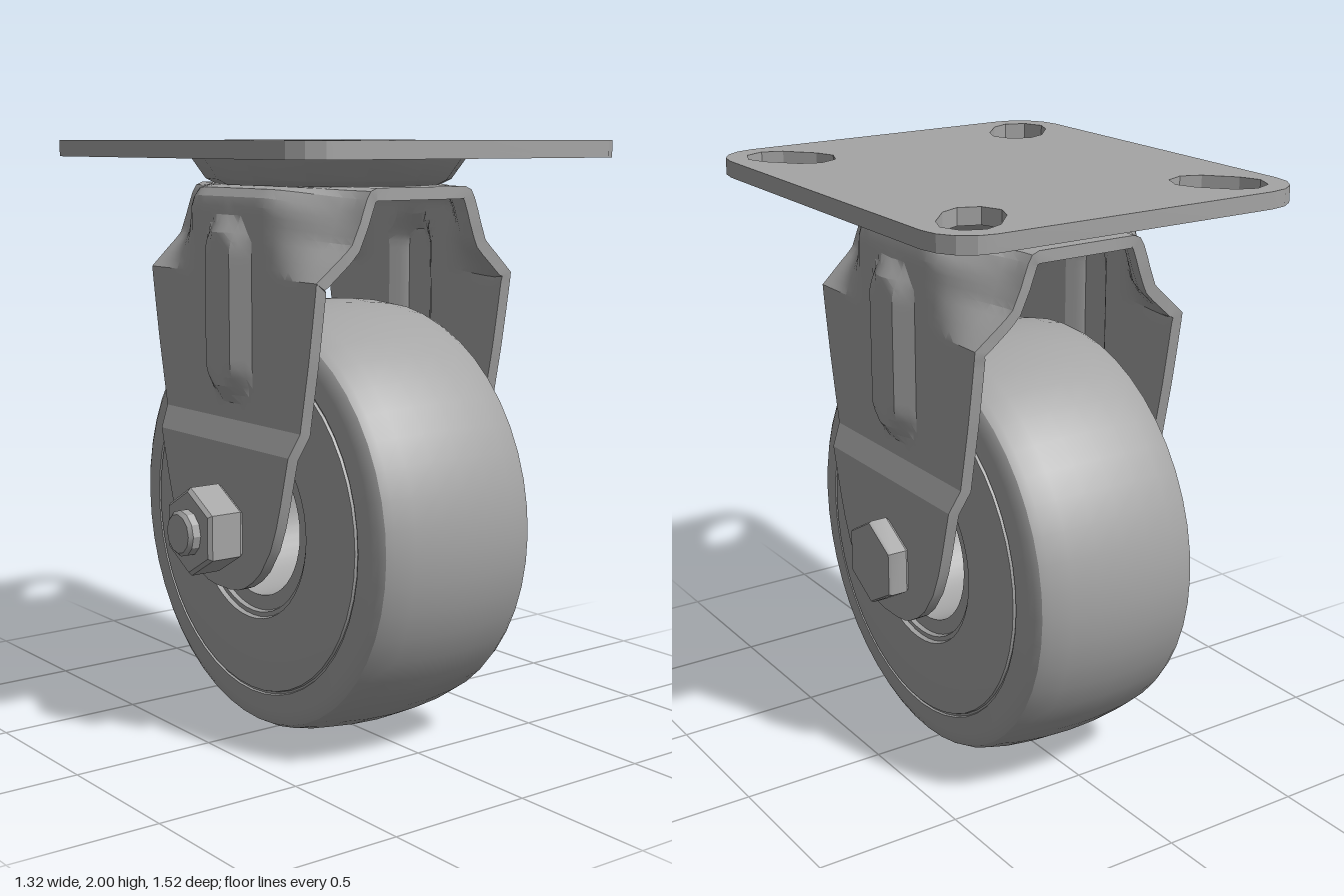
import * as THREE from 'three';
import { toCreasedNormals } from 'three/addons/utils/BufferGeometryUtils.js';

const AXLE_Y = 0.735;
const SHEET = 0.04;
const material = new THREE.MeshStandardMaterial({ color: 0xa5a5a5 });

function part(name, geometry, crease = 0.5) {
  const mesh = new THREE.Mesh(toCreasedNormals(geometry, crease), material);
  mesh.name = name;
  return mesh;
}

// Turned part on the axle line; profile points are [x, radius]
function turned(name, profile, sides) {
  const g = new THREE.LatheGeometry(profile.map(([x, r]) => new THREE.Vector2(r, x)), sides);
  g.rotateZ(-Math.PI / 2).rotateX(Math.PI / 2).translate(0, AXLE_Y, 0);
  return part(name, g);
}

// Mounting plate with rounded corners and four diagonal slots
function createPlate() {
  const w = 0.66, d = 0.76, r = 0.155, h = 0.055;
  const shape = new THREE.Shape();
  shape.absarc(w - r, d - r, r, 0, Math.PI / 2);
  shape.absarc(r - w, d - r, r, Math.PI / 2, Math.PI);
  shape.absarc(r - w, r - d, r, Math.PI, Math.PI * 1.5);
  shape.absarc(w - r, r - d, r, Math.PI * 1.5, Math.PI * 2);
  for (const sx of [-1, 1]) for (const sz of [-1, 1]) {
    const slot = new THREE.Path();
    const a = Math.atan2(sz, sx);
    slot.absarc(0.5 * sx, 0.6 * sz, 0.095, a - Math.PI / 2, a + Math.PI / 2);
    slot.absarc(0.42 * sx, 0.51 * sz, 0.095, a + Math.PI / 2, a + Math.PI * 1.5);
    shape.holes.push(slot);
  }
  const g = new THREE.ExtrudeGeometry(shape, { depth: h, bevelEnabled: false, curveSegments: 2 });
  g.rotateX(-Math.PI / 2).translate(0, 2 - h, 0);
  return part('mountingPlate', g, 0.3);
}

// Dished swivel housing under the plate, narrower across than front to back
function createHousing() {
  const profile = [[0, 1.855], [0.425, 1.855], [0.465, 1.873], [0.525, 1.948]];
  const g = new THREE.LatheGeometry(profile.map(([r, y]) => new THREE.Vector2(r, y)), 14);
  g.scale(0.82, 1, 1);
  return part('swivelHousing', g);
}

// Piecewise linear lookup in a list of [key, value]
function lookup(table, k) {
  for (let i = 1; i < table.length; i++) {
    const [k0, v0] = table[i - 1], [k1, v1] = table[i];
    if (k <= k1) return v0 + (v1 - v0) * Math.max(0, (k - k0) / (k1 - k0));
  }
  return table[table.length - 1][1];
}

// Half width of the fork leg at each height
const legWidth = [[0.53, 0.04], [0.537, 0.09], [0.55, 0.125], [0.58, 0.175], [0.62, 0.22], [0.7, 0.275],
  [0.8, 0.317], [1.04, 0.38], [1.32, 0.437], [1.45, 0.459], [1.55, 0.475], [1.66, 0.488], [1.8, 0.495]];
const legX = [[1.02, 0.435], [1.095, 0.4]];

// Fork: one bent sheet with gusseted shoulders and a pressed rib in each leg
function createFork() {
  // Half profile rows: [x, y] at mid depth, then [x, y] at the front and back edges
  const half = [[0.1, 1.855, 0.1, 1.855], [0.22, 1.855, 0.18, 1.855], [0.32, 1.855, 0.205, 1.845],
    [0.365, 1.847, 0.22, 1.82], [0.39, 1.82, 0.235, 1.78]];
  for (let i = 0; i <= 8; i++) {
    const t = i / 8;
    half.push([0.4, 1.79 - 0.22 * t, lookup([[0, 0.245], [0.4, 0.275], [1, 0.4]], t), 1.75 - 0.18 * t]);
  }
  const leg = [];
  for (let y = 1.54; y > 1.11; y -= 0.03) leg.push(y);
  leg.push(1.095, 1.02, 0.94, 0.86, 0.78, 0.7, 0.66, 0.62, 0.6, 0.58, 0.565, 0.55, 0.537, 0.53);
  for (const y of leg) half.push([lookup(legX, y), y, lookup(legX, y), y]);
  const mirrored = half.map(([a, b, c, d]) => [-a, b, -c, d]).reverse();
  const rows = [...mirrored, [0, 1.855, 0, 1.855], ...half];

  const cols = [0, 0.035, 0.07, 0.09, 0.11, 0.13, 0.15];
  for (let i = 1; i <= 8; i++) cols.push(0.15 + i / 8);
  const across = [...cols.slice(1).map((c) => -c).reverse(), ...cols];
  const m = across.length, n = rows.length;

  const points = [];
  for (const [x0, y0, x1, y1] of rows) {
    const w = lookup(legWidth, y0), inner = 0.15 * Math.min(1, w / 0.3);
    for (const c of across) {
      const k = Math.abs(c);
      const az = k <= 0.15 ? k * inner / 0.15 : inner + (k - 0.15) * (w - inner);
      const gusset = THREE.MathUtils.smoothstep(az, 0.18, 0.49);
      let x = x0 + (x1 - x0) * gusset;
      const y = y0 + (y1 - y0) * gusset;
      const toRib = Math.hypot(az, y - THREE.MathUtils.clamp(y, 1.28, 1.64));
      if (Math.abs(x0) > 0.38) {
        x += Math.sign(x) * 0.047 * THREE.MathUtils.clamp((0.13 - toRib) / 0.06, 0, 1);
      }
      points.push(x, y, Math.sign(c) * az);
    }
  }
  const index = [];
  const quad = (a, b, c, d) => index.push(a, b, c, b, d, c);
  for (let i = 0; i < n - 1; i++) for (let j = 0; j < m - 1; j++) {
    const a = i * m + j;
    quad(a, a + 1, a + m, a + m + 1);
  }
  const g = new THREE.BufferGeometry();
  g.setAttribute('position', new THREE.Float32BufferAttribute(points, 3));
  g.setIndex(index.slice());
  g.computeVertexNormals();

  // Inner skin, offset along the normals, then the cut edges all round
  const normals = g.attributes.normal.array, N = n * m;
  const inside = points.map((p, i) => p - normals[i] * SHEET);
  for (let i = 0; i < n - 1; i++) for (let j = 0; j < m - 1; j++) {
    const a = N + i * m + j;
    quad(a, a + m, a + 1, a + m + 1);
  }
  for (let i = 0; i < n - 1; i++) {
    const a = i * m, b = a + m - 1;
    quad(a, a + m, a + N, a + m + N);
    quad(b, b + N, b + m, b + m + N);
  }
  for (let j = 0; j < m - 1; j++) {
    const b = (n - 1) * m + j;
    quad(j, j + N, j + 1, j + 1 + N);
    quad(b, b + 1, b + N, b + 1 + N);
  }
  g.deleteAttribute('normal');
  g.setAttribute('position', new THREE.Float32BufferAttribute([...points, ...inside], 3));
  g.setIndex(index);
  return part('fork', g, 0.4);
}

// Wheel: crowned tread, stepped side faces and an open bore
function createWheel() {
  const side = [[0, 0.735], [0.1, 0.731], [0.2, 0.72], [0.27, 0.705], [0.295, 0.692], [0.308, 0.67],
    [0.312, 0.64], [0.321, 0.585], [0.314, 0.582], [0.314, 0.575], [0.323, 0.572], [0.33, 0.45],
    [0.33, 0.325], [0.315, 0.32], [0.315, 0.305], [0.3, 0.3], [0.3, 0.25]];
  const mirrored = side.slice(1).map(([x, r]) => [-x, r]).reverse();
  const profile = [...mirrored, ...side, [-0.3, 0.25]];
  return turned('wheel', profile, 48);
}

export function createModel() {
  const group = new THREE.Group();
  group.name = 'swivelCaster';
  group.add(createPlate(), createHousing(), createFork(), createWheel());

  // Bolt head, nut with the bolt end, and washers
  group.add(turned('boltHead', [[0.43, 0], [0.43, 0.13], [0.447, 0.148], [0.502, 0.148], [0.512, 0.142], [0.512, 0]], 6));
  group.add(turned('nut', [[-0.57, 0], [-0.57, 0.135], [-0.558, 0.148], [-0.45, 0.148], [-0.435, 0.135], [-0.435, 0]], 6));
  group.add(turned('boltEnd', [[-0.61, 0], [-0.61, 0.065], [-0.598, 0.077], [-0.56, 0.077]], 12));
  for (const s of [-1, 1]) {
    const washer = [[0.35, 0], [0.35, 0.168], [0.39, 0.168], [0.4, 0.15], [0.4, 0]];
    const profile = s > 0 ? washer : washer.map(([x, r]) => [-x, r]).reverse();
    group.add(turned(s > 0 ? 'leftWasher' : 'rightWasher', profile, 24));
  }
  return group;
}
